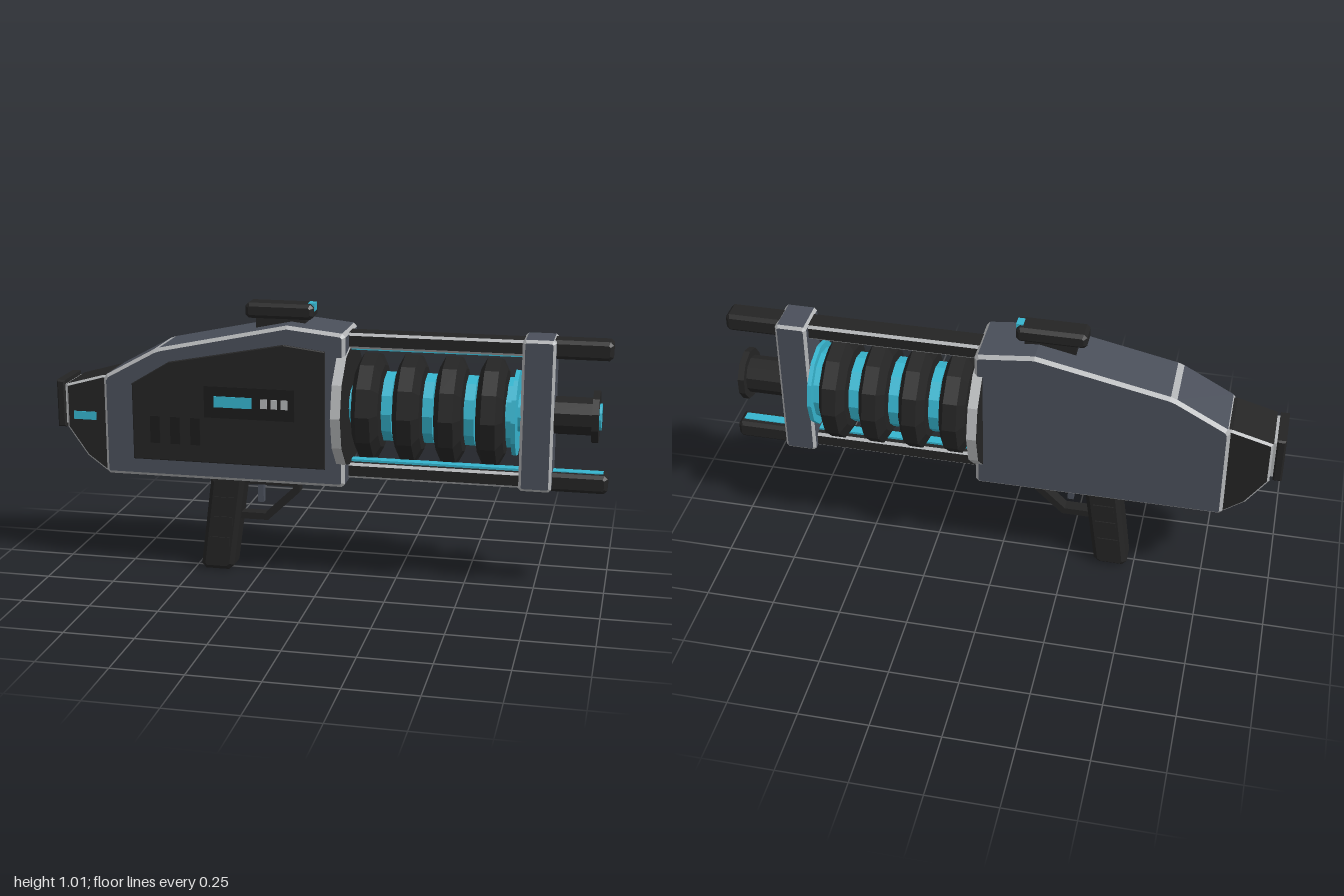
import * as THREE from 'three';

const mat = (name, color) => {
  const m = new THREE.MeshStandardMaterial({ color });
  m.name = name;
  return m;
};

export function createModel() {
  const black = mat('black', 0x242424);
  const deepBlack = mat('deepBlack', 0x1c1c1c);
  const slate = mat('slate', 0x4a4f5a);
  const silver = mat('silver', 0xb2b4b6);
  const cyan = mat('cyan', 0x36b4ce);
  const root = new THREE.Group();
  root.name = 'blaster';

  const add = (name, geo, m, x = 0, y = 0, z = 0) => {
    const mesh = new THREE.Mesh(geo, m);
    mesh.name = name;
    mesh.position.set(x, y, z);
    root.add(mesh);
    return mesh;
  };

  // Cuts each corner [x, y, cut] of an outline; marks the cut segments as edges
  const cutCorners = (pts) => {
    const out = [];
    pts.forEach(([x, y, c = 0], i) => {
      const p = new THREE.Vector2(x, y);
      if (!c) return out.push({ p, edge: false });
      const toward = (q) => new THREE.Vector2(q[0], q[1]).sub(p).setLength(c).add(p);
      out.push({ p: toward(pts[(i + pts.length - 1) % pts.length]), edge: true });
      out.push({ p: toward(pts[(i + 1) % pts.length]), edge: false });
    });
    return out;
  };

  // Anticlockwise outline made into a plate from z0 to z1 with bevelled rims
  const prism = (name, pts, z0, z1, bevel, face, edge = face) => {
    const loop = cutCorners(pts);
    const n = loop.length;
    const outer = loop.map((v) => v.p);
    const inner = outer.map((p, i) => {
      const a = p.clone().sub(outer[(i + n - 1) % n]).normalize();
      const b = outer[(i + 1) % n].clone().sub(p).normalize();
      const m = new THREE.Vector2(-a.y - b.y, a.x + b.x);
      return p.clone().addScaledVector(m, bevel / (1 + a.dot(b)));
    });
    const lists = [[], []];
    const tri = (k, ...vs) => vs.forEach((v) => lists[k].push(...v));
    const quad = (k, a, b, c, d) => { tri(k, a, b, c); tri(k, a, c, d); };
    const at = (p, z) => [p.x, p.y, z];
    for (const [a, b, c] of THREE.ShapeUtils.triangulateShape(inner, [])) {
      tri(0, at(inner[a], z1), at(inner[b], z1), at(inner[c], z1));
      tri(0, at(inner[c], z0), at(inner[b], z0), at(inner[a], z0));
    }
    for (let i = 0; i < n; i++) {
      const j = (i + 1) % n;
      const [p, q, s, t] = [outer[i], outer[j], inner[i], inner[j]];
      quad(loop[i].edge ? 1 : 0, at(p, z0 + bevel), at(q, z0 + bevel), at(q, z1 - bevel), at(p, z1 - bevel));
      if (bevel) {
        quad(1, at(p, z1 - bevel), at(q, z1 - bevel), at(t, z1), at(s, z1));
        quad(1, at(s, z0), at(t, z0), at(q, z0 + bevel), at(p, z0 + bevel));
      }
    }
    const geo = new THREE.BufferGeometry();
    geo.setAttribute('position', new THREE.Float32BufferAttribute(lists.flat(), 3));
    geo.addGroup(0, lists[0].length / 3, 0);
    geo.addGroup(lists[0].length / 3, lists[1].length / 3, 1);
    geo.computeVertexNormals();
    return add(name, geo, [face, edge]);
  };
  const rect = (x0, x1, y0, y1, c = 0) => [[x0, y0, c], [x1, y0, c], [x1, y1, c], [x0, y1, c]];
  const plate = (name, x0, x1, y0, y1, z0, z1, m) =>
    add(name, new THREE.BoxGeometry(x1 - x0, y1 - y0, z1 - z0), m, (x0 + x1) / 2, (y0 + y1) / 2, (z0 + z1) / 2);

  // Faceted turned part along x, from [x, radius] pairs
  const AXIS = 0.65;
  const turned = (name, profile, m, sides = 12, spin = 0) => {
    const geo = new THREE.LatheGeometry(profile.map(([x, r]) => new THREE.Vector2(r, x)), sides)
      .rotateY(spin).rotateZ(-Math.PI / 2).toNonIndexed();
    geo.computeVertexNormals();
    return add(name, geo, m, 0, AXIS, 0);
  };
  const disc = (name, x0, x1, r, m, sides, spin) =>
    turned(name, [[x0, 0], [x0, r], [x1, r], [x1, 0]], m, sides, spin);

  // Main housing with bright worn edges
  prism('housing', [[-0.81, 0.37, 0.012], [0.08, 0.37, 0.012], [0.08, 0.925, 0.012],
    [-0.13, 0.947], [-0.61, 0.845, 0.012], [-0.81, 0.735, 0.012]], -0.115, 0.115, 0.012, slate, silver);

  // Side panel, vents and display on the +z side
  prism('sidePanel', [[-0.7, 0.435], [0.01, 0.435], [0.01, 0.862], [-0.14, 0.88], [-0.56, 0.8], [-0.7, 0.715]],
    0.11, 0.122, 0.003, black);
  for (const x of [-0.615, -0.54, -0.465]) plate('vent', x - 0.018, x + 0.018, 0.5, 0.6, 0.12, 0.127, deepBlack);
  plate('displayBezel', -0.43, -0.1, 0.605, 0.72, 0.12, 0.126, deepBlack);
  plate('displayScreen', -0.393, -0.255, 0.645, 0.685, 0.122, 0.129, cyan);
  for (const x of [-0.21, -0.173, -0.136]) plate('displayButton', x - 0.012, x + 0.012, 0.648, 0.682, 0.122, 0.129, silver);

  // Tapered stock and butt pad
  prism('stock', [[-0.958, 0.535], [-0.885, 0.43], [-0.815, 0.378], [-0.8, 0.378], [-0.8, 0.735], [-0.815, 0.735], [-0.958, 0.695]],
    -0.102, 0.102, 0.008, black, silver);
  plate('stockLight', -0.93, -0.845, 0.567, 0.597, 0.098, 0.105, cyan);
  plate('stockSeam', -0.972, -0.955, 0.545, 0.69, -0.08, 0.08, silver);
  prism('buttPad', rect(-1, -0.968, 0.53, 0.705), -0.087, 0.087, 0.006, black);

  // Top sight
  plate('sightMount', -0.26, -0.08, 0.9, 0.965, -0.03, 0.03, black);
  prism('sight', rect(-0.297, -0.05, 0.955, 1.01, 0.012), -0.045, 0.045, 0.012, black);
  plate('sightLight', -0.073, -0.048, 0.985, 1.013, -0.02, 0.02, cyan);

  // Round flange with a bright rim
  disc('flange', 0.05, 0.085, 0.223, black);
  turned('flangeRim', [[0.05, 0.225], [0.085, 0.225]], silver);

  // Glowing core, coils and spacer rings
  disc('core', 0.08, 0.7, 0.068, cyan);
  for (let i = 0; i < 4; i++) {
    const x = 0.155 + i * 0.145;
    turned('coil', [[x - 0.047, 0], [x - 0.047, 0.15], [x - 0.025, 0.192], [x + 0.025, 0.192],
      [x + 0.047, 0.15], [x + 0.047, 0]], black);
    disc('spacerRing', x + 0.055, x + 0.09, 0.127, cyan);
  }
  disc('endRing', 0.665, 0.68, 0.154, cyan);

  // Rails with glowing inner strips, mirrored about the barrel axis
  for (const s of [1, -1]) {
    const mid = s > 0 ? 0.889 : 0.415;
    prism('rail', rect(0.07, 0.76, mid - 0.028, mid + 0.028), -0.045, 0.045, 0.009, black, silver);
    prism('railTip', rect(0.78, 0.997, mid - 0.033, mid + 0.033, 0.012), -0.045, 0.045, 0.012, black);
    const y = mid - s * 0.032;
    plate('railStrip', 0.08, 0.98, y - 0.004, y + 0.004, -0.018, 0.018, cyan);
  }

  // Front bracket
  prism('frontBracket', rect(0.69, 0.805, 0.385, 0.925, 0.01), -0.075, 0.075, 0.01, slate, silver);

  // Ten-sided muzzle
  turned('muzzle', [[0.79, 0.068], [0.935, 0.068], [0.935, 0.094], [0.958, 0.094], [0.958, 0]], black, 10, Math.PI / 2);
  turned('muzzleLight', [[0.955, 0.048], [0.966, 0.048], [0.966, 0.029], [0.955, 0.029]], cyan, 12);
  disc('muzzleBore', 0.955, 0.96, 0.03, deepBlack, 12);

  // Grip with side ribs
  prism('grip', [[-0.478, 0.003, 0.018], [-0.355, 0.003, 0.018], [-0.305, 0.37, 0.012], [-0.432, 0.37, 0.02]],
    -0.052, 0.052, 0.016, black);
  for (const y of [0.115, 0.195, 0.27]) {
    const x = -0.417 + (y - 0.003) * 0.136;
    plate('gripRib', x - 0.038, x + 0.038, y - 0.017, y + 0.017, -0.056, 0.056, black);
  }

  // Trigger and guard
  prism('triggerGuard', [[-0.34, 0.2], [-0.225, 0.2], [-0.105, 0.315], [-0.105, 0.375], [-0.13, 0.375],
    [-0.13, 0.325], [-0.235, 0.225], [-0.34, 0.225]], -0.022, 0.022, 0, black);
  plate('triggerPlate', -0.32, -0.105, 0.335, 0.375, -0.022, 0.022, black);
  plate('trigger', -0.265, -0.243, 0.265, 0.345, -0.012, 0.012, slate);

  return root;
}
